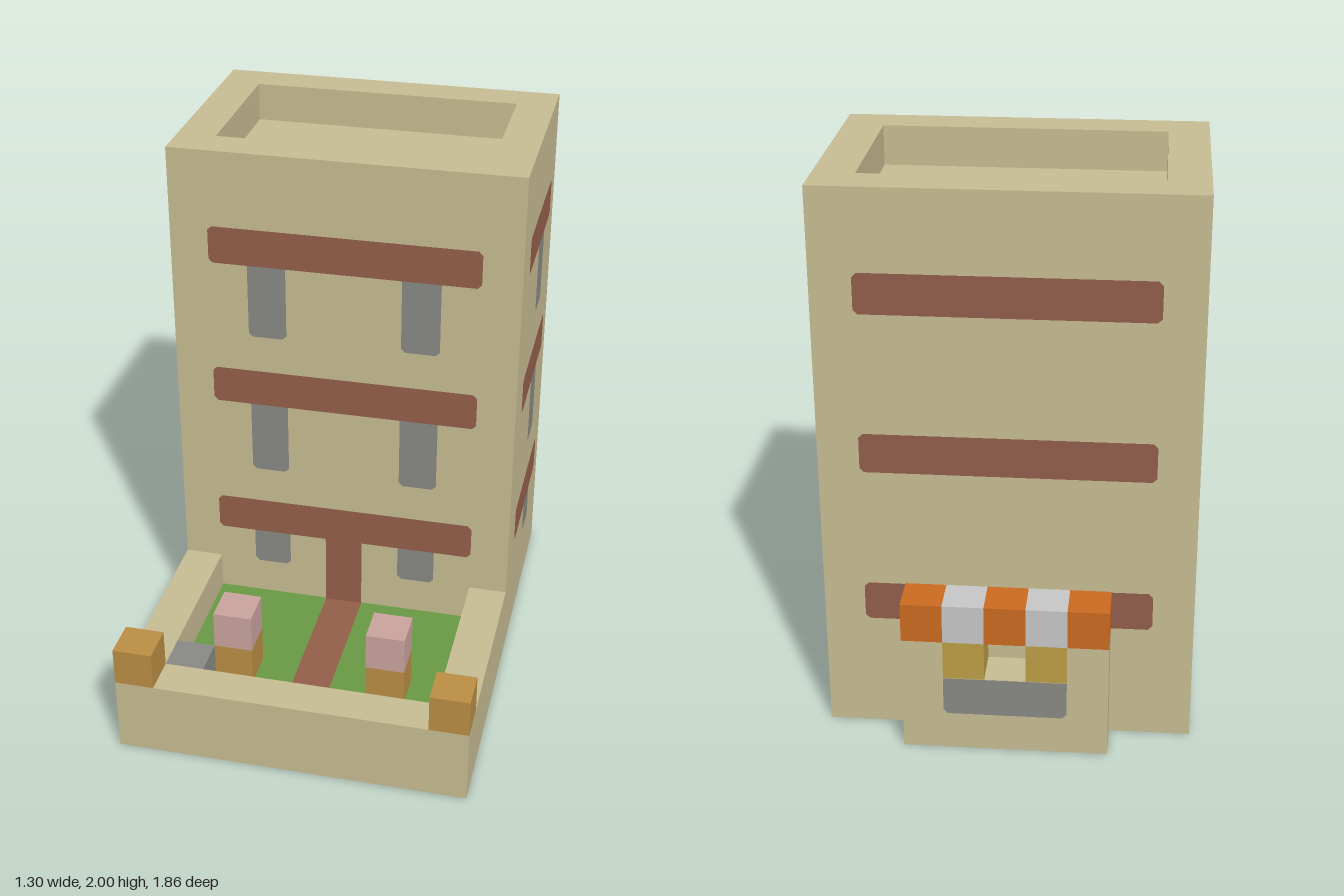
import * as THREE from 'three';

const U = 1 / 7; // one building block

const mat = (name, color) => {
  const m = new THREE.MeshStandardMaterial({ color });
  m.name = name;
  return m;
};

export function createModel() {
  const M = {
    stone: mat('sandstone', 0xc6bb92),
    brown: mat('brown trim', 0x935e4a),
    grey: mat('grey', 0x888884),
    green: mat('grass', 0x699944),
    pink: mat('pink', 0xc9a39d),
    wood: mat('wood', 0xba8d44),
    gold: mat('gold', 0xbc9c45),
    orange: mat('orange', 0xcb6a21),
    white: mat('white', 0xc6c6c6),
  };
  const root = new THREE.Group();
  root.name = 'towerHouse';

  const add = (name, geo, material) => {
    const mesh = new THREE.Mesh(geo, material);
    mesh.name = name;
    root.add(mesh);
    return mesh;
  };

  // Box between two corners, in blocks
  const block = (name, material, x0, x1, y0, y1, z0, z1) => {
    const geo = new THREE.BoxGeometry((x1 - x0) * U, (y1 - y0) * U, (z1 - z0) * U);
    geo.translate(((x0 + x1) / 2) * U, ((y0 + y1) / 2) * U, ((z0 + z1) / 2) * U);
    return add(name, geo, material);
  };

  // Thin painted plate with clipped corners, standing at pos and turned about y
  const plate = (name, material, w, y0, y1, pos, turn, lift = 0.003, clipTop = true) => {
    const a = (w / 2) * U, b = y0 * U, t = y1 * U, c = 0.015, k = clipTop ? c : 0;
    const pts = [[-a + c, b], [a - c, b], [a, b + c], [a, t - k], [a - k, t], [-a + k, t], [-a, t - k], [-a, b + c]];
    const shape = new THREE.Shape(pts.map(([x, y]) => new THREE.Vector2(x, y)));
    const mesh = add(name, new THREE.ShapeGeometry(shape), material);
    mesh.position.set(pos[0] * U + Math.sin(turn) * lift, 0, pos[1] * U + Math.cos(turn) * lift);
    mesh.rotation.y = turn;
    return mesh;
  };

  // Tower and its raised roof rim
  block('tower', M.stone, -4.5, 4.5, 0, 13, -5.5, 0.5);
  const rect = (Type, x, y) => new Type([[-x, -y], [x, -y], [x, y], [-x, y]].map(([p, q]) => new THREE.Vector2(p * U, q * U)));
  const rim = rect(THREE.Shape, 4.5, 3);
  rim.holes.push(rect(THREE.Path, 3.5, 2));
  const rimGeo = new THREE.ExtrudeGeometry(rim, { depth: U, bevelEnabled: false });
  rimGeo.rotateX(-Math.PI / 2).translate(0, 13 * U, -2.5 * U);
  add('roofRim', rimGeo, M.stone);

  // Trim bands and windows for each storey
  for (const y of [3, 7, 11]) {
    const sill = y === 3 ? 2 : y - 2;
    plate('frontBand', M.brown, 7, y, y + 1, [0, 0.5], 0, 0.005);
    plate('backBand', M.brown, 7, y, y + 1, [0, -5.5], Math.PI, 0.005);
    for (const s of [-1, 1]) {
      plate('sideBand', M.brown, 4, y, y + 1, [s * 4.5, -2.5], s * Math.PI / 2, 0.005);
      plate('sideWindow', M.grey, 1, sill, y, [s * 4.5, -3], s * Math.PI / 2, 0.003, false);
      plate('frontWindow', M.grey, 1, sill, y, [s * 2, 0.5], 0, 0.003, false);
    }
  }
  plate('door', M.brown, 1, 0.9, 3.1, [0, 0.5], 0, 0.004, false);

  // Courtyard: walls, lawn, path, corner posts and pillars
  block('frontWall', M.stone, -4.5, 4.5, 0, 2, 5.5, 6.5);
  block('path', M.brown, -0.5, 0.5, 0, 1, 0.5, 5.5);
  for (const s of [-1, 1]) {
    block('sideWall', M.stone, s * 4 - 0.5, s * 4 + 0.5, 0, 2, 0.5, 5.5);
    block('lawn', M.green, s * 2 - 1.5, s * 2 + 1.5, 0, 1, 0.5, 5.5);
    block('cornerPost', M.wood, s * 4 - 0.5, s * 4 + 0.5, 2, 3, 5.5, 6.5);
    block('pillarBase', M.wood, s * 2 - 0.5, s * 2 + 0.5, 1, 2, 3.5, 4.5);
    block('pillarTop', M.pink, s * 2 - 0.5, s * 2 + 0.5, 2, 3, 3.5, 4.5);
  }
  block('cornerStone', M.grey, -3.5, -2.5, 1, 2, 4.5, 5.5);

  // Stall at the back with a hatch and a striped awning
  block('stallBase', M.stone, -2.5, 2.5, 0, 2, -6.5, -5.5);
  for (const s of [-1, 1]) {
    block('stallSide', M.stone, s * 2 - 0.5, s * 2 + 0.5, 2, 3, -6.5, -5.5);
    block('hatchPost', M.gold, s - 0.5, s + 0.5, 2, 3, -6.5, -5.5);
  }
  plate('stallCounter', M.grey, 3, 1, 2, [0, -6.5], Math.PI, 0.003, false);
  for (let i = -2; i <= 2; i++) {
    block('awningStripe', i % 2 ? M.white : M.orange, i - 0.5, i + 0.5, 3, 4, -6.5, -5.5);
  }
  return root;
}
